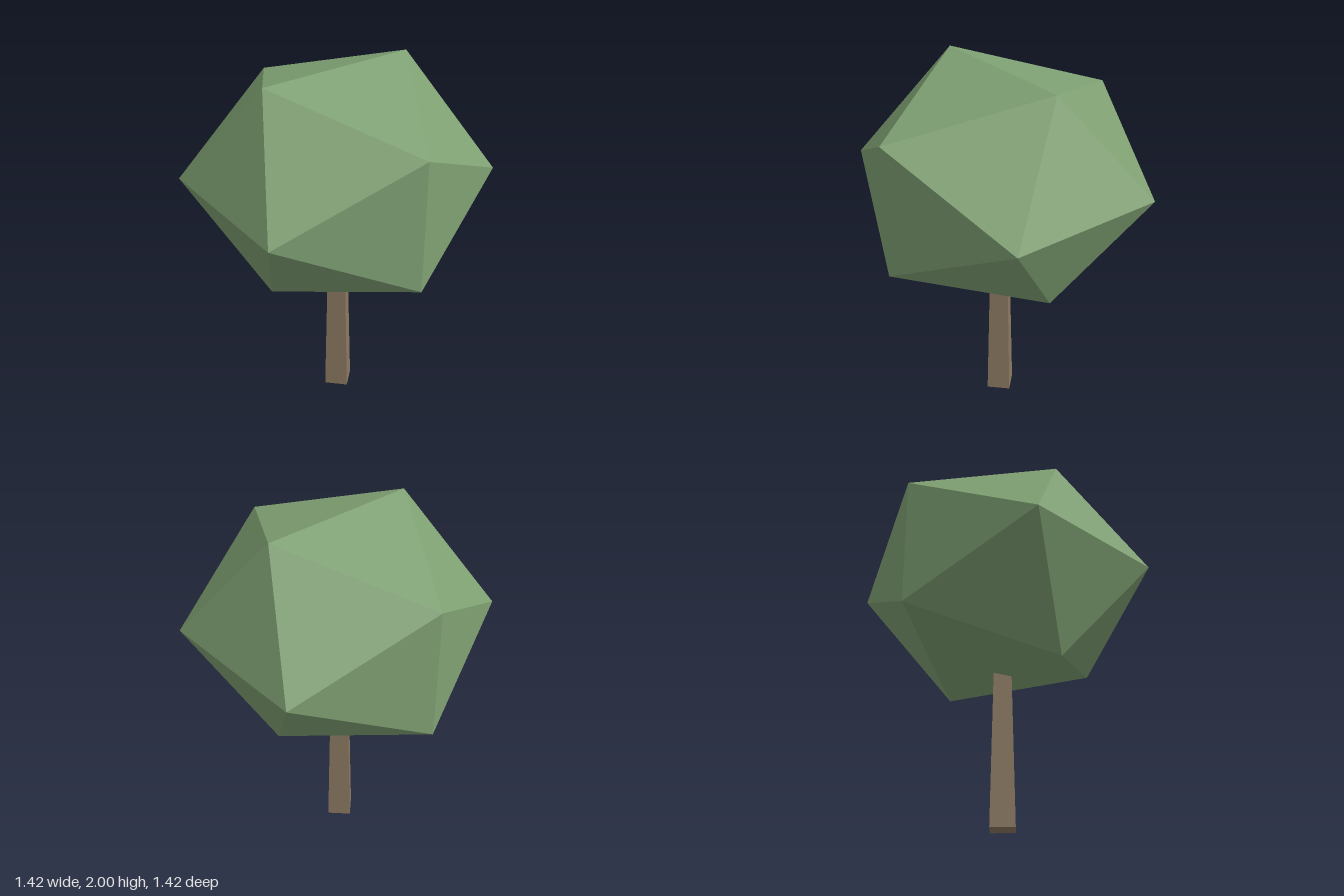
import * as THREE from 'three';

export function createModel() {
  const leafGreen = new THREE.MeshStandardMaterial({ color: 0x7fa173, flatShading: true });
  leafGreen.name = 'leafGreen';
  const barkBrown = new THREE.MeshStandardMaterial({ color: 0x8d7a62, flatShading: true });
  barkBrown.name = 'barkBrown';

  const tree = new THREE.Group();
  tree.name = 'tree';

  // Four-sided tapering trunk, corners on the axes, ending inside the crown
  const trunkHeight = 0.94;
  const trunk = new THREE.Mesh(
    new THREE.CylinderGeometry(0.066, 0.094, trunkHeight, 4), barkBrown);
  trunk.name = 'trunk';
  trunk.position.y = trunkHeight / 2;
  tree.add(trunk);

  // Faceted crown, slightly flattened
  const crown = new THREE.Mesh(
    new THREE.IcosahedronGeometry(0.833, 0).scale(1, 0.828, 1), leafGreen);
  crown.name = 'crown';
  crown.position.y = 1.413;
  tree.add(crown);

  return tree;
}
